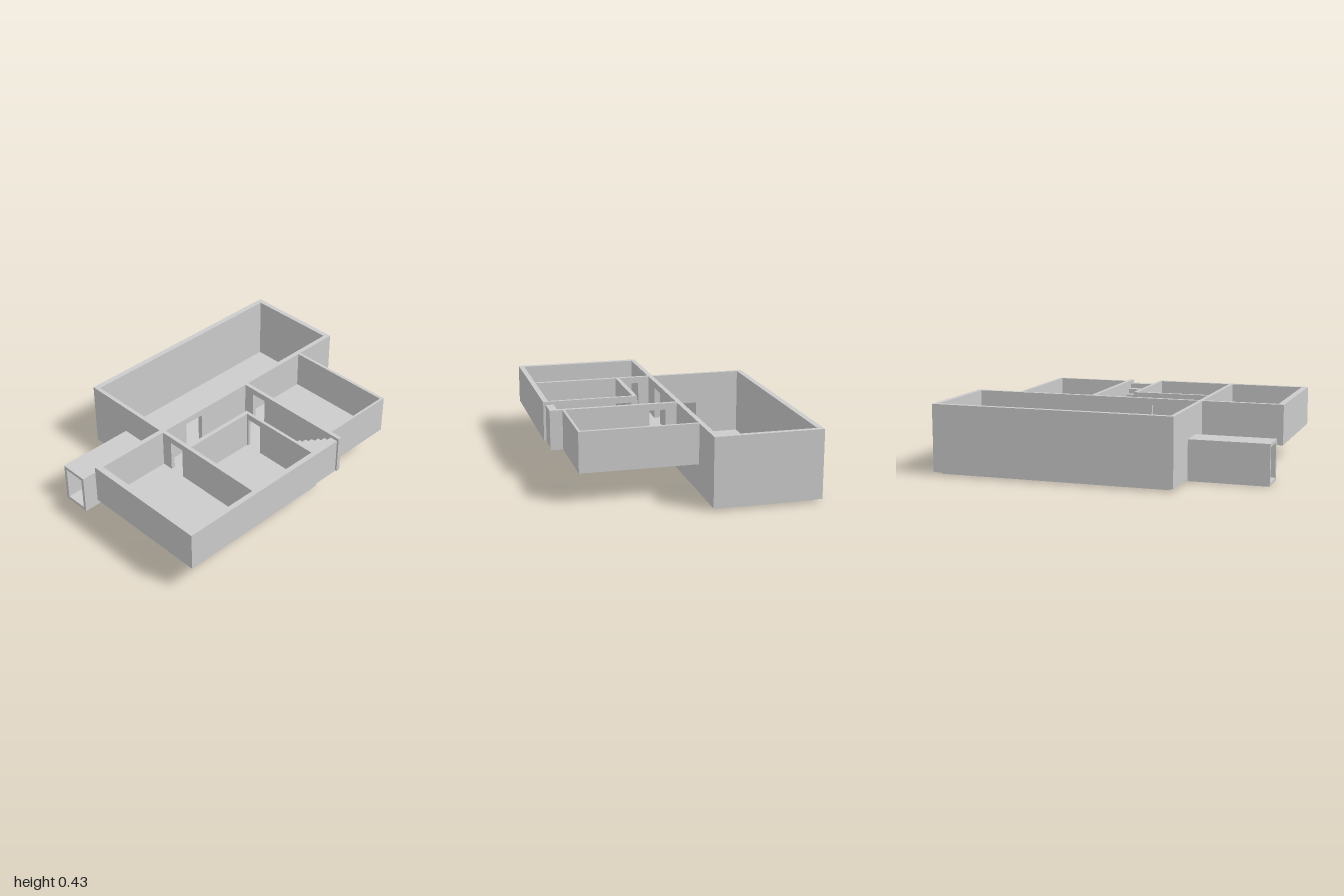
import * as THREE from 'three';

const material = new THREE.MeshStandardMaterial({ color: 0xcccccc, flatShading: true });

export function createModel() {
  const model = new THREE.Group();

  const group = (name) => {
    const g = new THREE.Group();
    g.name = name;
    model.add(g);
    return g;
  };

  // Box given by its limits on each axis
  const box = (parent, name, [x0, x1], [y0, y1], [z0, z1]) => {
    const mesh = new THREE.Mesh(new THREE.BoxGeometry(x1 - x0, y1 - y0, z1 - z0), material);
    mesh.position.set((x0 + x1) / 2, (y0 + y1) / 2, (z0 + z1) / 2);
    mesh.name = name;
    parent.add(mesh);
  };

  // Wall with a doorway; axis tells which way the wall runs
  const doorWall = (parent, name, axis, x, y, z, door, head) => {
    const run = axis === 'x' ? x : z;
    const piece = (r, h) =>
      axis === 'x' ? box(parent, name, r, h, z) : box(parent, name, x, h, r);
    piece([run[0], door[0]], y);
    piece([door[1], run[1]], y);
    piece(door, [head, y[1]]);
    // strip left under the doorway
    const sill = y[0] < 0.1 ? 0.02 : 0.19;
    const top = axis === 'z' ? 0.19 : sill;
    piece(door, [y[0], top]);
  };

  const TOP = 0.43;
  const HEAD = 0.39;
  const low = [0.015, TOP];
  const high = [0.185, TOP];

  // Tall hall
  const hall = group('hall');
  box(hall, 'hallFloor', [-0.685, -0.1], [0, 0.02], [-0.968, 0.475]);
  box(hall, 'hallOuterWall', [-0.72, -0.685], low, [-1, 0.5]);
  box(hall, 'hallBackWall', [-0.685, -0.1], low, [-1, -0.968]);
  doorWall(hall, 'hallFrontWall', 'x', [-0.685, -0.1], low, [0.475, 0.5], [-0.4, -0.26], 0.23);
  doorWall(hall, 'hallInnerWall', 'z', [-0.1, -0.07], low, [-1, 0.5], [0.18, 0.31], HEAD);

  // Entrance tunnel
  const tunnel = group('entranceTunnel');
  box(tunnel, 'tunnelFloor', [-0.42, -0.24], [0, 0.02], [0.5, 0.99]);
  box(tunnel, 'tunnelRoof', [-0.42, -0.24], [0.23, 0.25], [0.5, 0.99]);
  for (const x of [-0.42, -0.26])
    box(tunnel, 'tunnelSide', [x, x + 0.02], [0.02, 0.23], [0.5, 0.99]);

  // Hall stairs with a sloping underside, rising to a thin landing
  const hallStairs = group('hallStairs');
  const steps = 9, z0 = -0.085, z1 = 0.07, run = (z1 - z0) / steps, rise = 0.17 / steps;
  const profile = new THREE.Shape();
  profile.moveTo(z0, 0.02);
  for (let i = 0; i < steps; i++) {
    profile.lineTo(z0 + i * run, 0.02 + (i + 1) * rise);
    profile.lineTo(z0 + (i + 1) * run, 0.02 + (i + 1) * rise);
  }
  profile.lineTo(z1, 0.155);
  profile.lineTo(z0 + 0.03, 0.02);
  profile.closePath();
  const flight = new THREE.Mesh(
    new THREE.ExtrudeGeometry(profile, { depth: 0.16, bevelEnabled: false }), material);
  flight.rotation.y = -Math.PI / 2;
  flight.position.x = -0.1;
  flight.name = 'stairFlight';
  hallStairs.add(flight);
  box(hallStairs, 'landing', [-0.26, -0.1], [0.178, 0.19], [z1, 0.33]);

  // Raised floor plates, with narrow grooves under the partitions
  const floors = group('raisedFloors');
  const slab = [0.18, 0.19];
  box(floors, 'backRoomFloor', [-0.07, 0.62], slab, [-0.69, -0.225]);
  box(floors, 'corridorFloor', [-0.07, 0.13], slab, [-0.2, 0.475]);
  box(floors, 'sideRoomFloor', [0.155, 0.7], slab, [-0.2, 0.475]);
  box(floors, 'passageFloor', [0.13, 0.155], slab, [-0.2, -0.01]);
  box(floors, 'frontRoomFloor', [-0.07, 0.7], slab, [0.5, 0.975]);

  // Front room
  const front = group('frontRoom');
  box(front, 'frontWall', [-0.1, 0.715], high, [0.962, 1]);
  box(front, 'innerSideWall', [-0.1, -0.07], high, [0.5, 0.962]);
  box(front, 'outerSideWall', [0.683, 0.715], high, [-0.012, 0.962]);
  doorWall(front, 'frontPartition', 'x', [-0.07, 0.683], high, [0.475, 0.5], [0, 0.1], HEAD);

  // Side room enclosed by the L-shaped corridor
  const side = group('sideRoom');
  box(side, 'corridorWall', [0.127, 0.153], high, [0.008, 0.475]);
  doorWall(side, 'passageWall', 'x', [0.127, 0.683], high, [-0.012, 0.008], [0.165, 0.265], HEAD);

  // Back room
  const back = group('backRoom');
  box(back, 'backWall', [-0.07, 0.635], high, [-0.71, -0.69]);
  box(back, 'backSideWall', [0.62, 0.635], high, [-0.69, -0.225]);
  doorWall(back, 'backPartition', 'x', [-0.07, 0.712], high, [-0.225, -0.2], [0, 0.1], HEAD);

  // Exit stairs climbing outwards from the corridor
  const exit = group('exitStairs');
  const n = 7, x0 = 0.355, tread = (0.7 - x0) / n;
  for (let i = 0; i < n; i++)
    box(exit, 'exitStep', [x0 + i * tread, x0 + (i + 1) * tread],
      [0.185, 0.19 + (i + 1) * 0.22 / n], [-0.2, -0.012]);

  return model;
}
